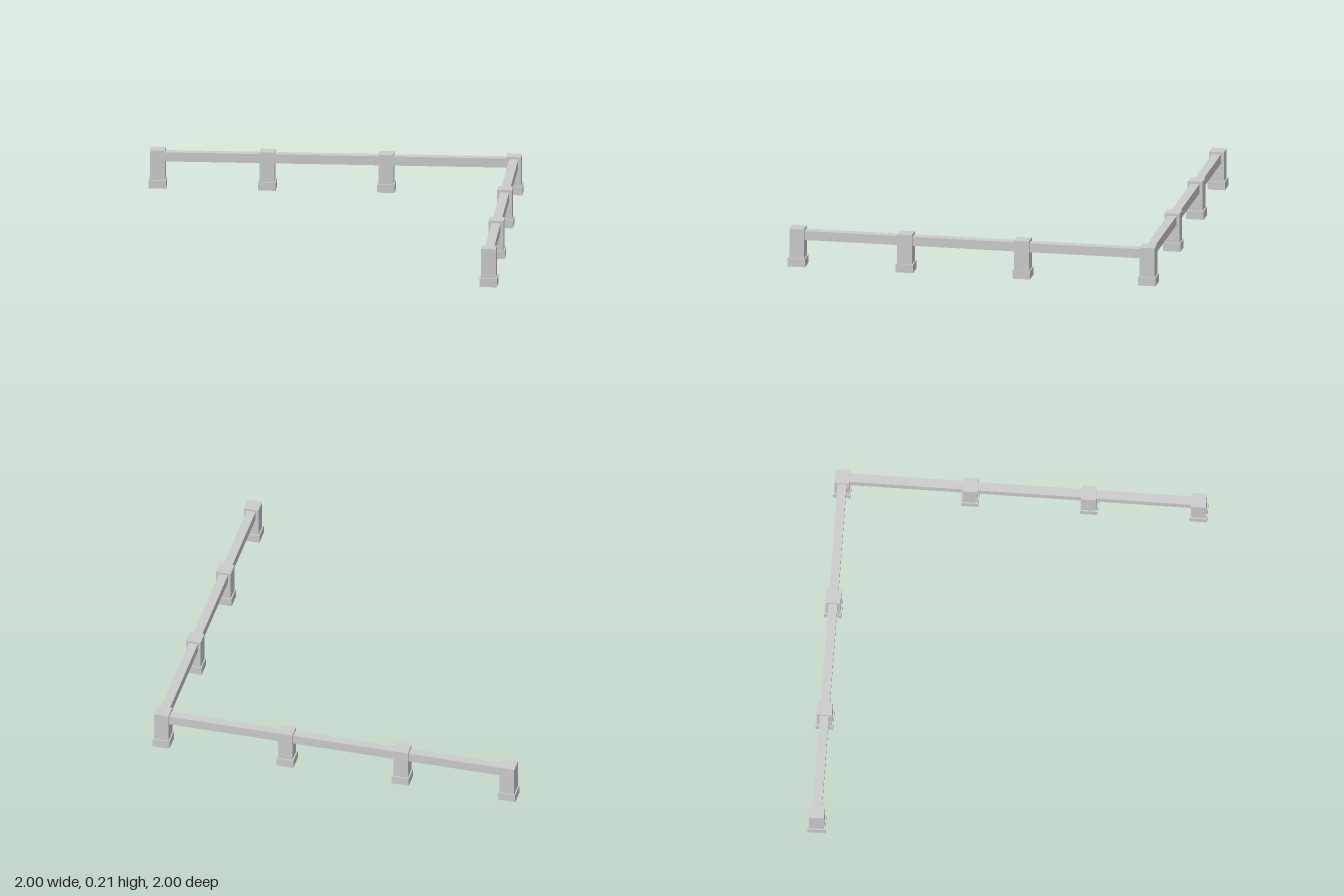
import * as THREE from 'three';

const material = new THREE.MeshStandardMaterial({ color: 0xcccccc, flatShading: true });

const EDGE = 0.953;        // centre line of both fence runs
const BASE = 0.094;        // foot width
const BASE_HEIGHT = 0.046;
const POST = 0.08;
const POST_TOP = 0.208;
const RAIL = 0.048;

function square(ShapeClass, size) {
  const h = size / 2;
  return new ShapeClass([[-h, -h], [h, -h], [h, h], [-h, h]].map(([x, y]) => new THREE.Vector2(x, y)));
}

// Square foot with a recess in its underside
function footGeometry() {
  const shape = square(THREE.Shape, BASE);
  shape.holes.push(square(THREE.Path, 0.046));
  return new THREE.ExtrudeGeometry(shape, { depth: BASE_HEIGHT, bevelEnabled: false }).rotateX(-Math.PI / 2);
}

function addMesh(parent, name, geometry, x = 0, y = 0, z = 0) {
  const mesh = new THREE.Mesh(geometry, material);
  mesh.name = name;
  mesh.position.set(x, y, z);
  parent.add(mesh);
}

export function createModel() {
  const model = new THREE.Group();
  model.name = 'cornerFence';

  const foot = footGeometry();
  const shaftHeight = POST_TOP - BASE_HEIGHT;
  const shaft = new THREE.BoxGeometry(POST, shaftHeight, POST);

  // Posts: four along the back, three more along the left side
  const spots = [-EDGE, -0.366, 0.27, EDGE].map((x) => [x, -EDGE])
    .concat([-0.27, 0.366, EDGE].map((z) => [EDGE, z]));
  for (const [x, z] of spots) {
    const post = new THREE.Group();
    post.name = 'post';
    post.position.set(x, 0, z);
    addMesh(post, 'foot', foot);
    addMesh(post, 'shaft', shaft, 0, BASE_HEIGHT + shaftHeight / 2, 0);
    model.add(post);
  }

  // Rails running from corner post to end post
  const length = EDGE * 2;
  addMesh(model, 'backRail', new THREE.BoxGeometry(length, 0.05, RAIL), 0, 0.17, -EDGE);
  addMesh(model, 'sideRail', new THREE.BoxGeometry(RAIL, 0.05, length), EDGE, 0.17, 0);

  return model;
}
